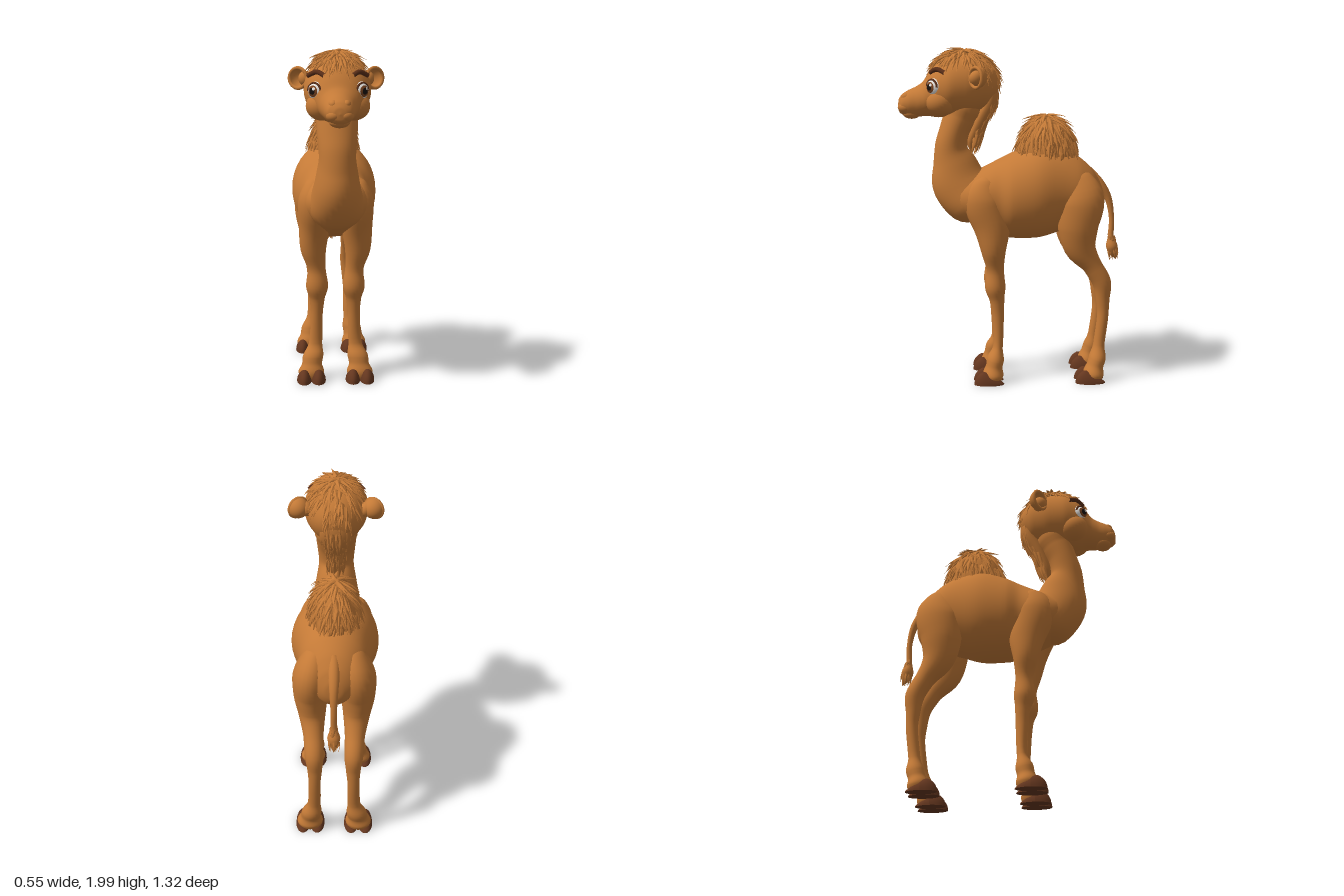
import * as THREE from 'three';
import { mergeGeometries } from 'three/addons/utils/BufferGeometryUtils.js';

const material = (name, color, side = THREE.FrontSide) => {
  const m = new THREE.MeshStandardMaterial({ color, side });
  m.name = name;
  return m;
};
const V = (x, y, z) => new THREE.Vector3(x, y, z);

// Smooth skin through elliptical rings [x, y, z, half width, half depth];
// rings follow the path, or stay upright
function loft(rings, sides = 28, upright = false) {
  const path = new THREE.CatmullRomCurve3(rings.map(r => V(r[0], r[1], r[2])));
  const size = new THREE.CatmullRomCurve3(rings.map(r => V(r[3], r[4], 0)));
  const n = (rings.length - 1) * 5, pos = [], idx = [];
  for (let i = 0; i <= n; i++) {
    const c = path.getPoint(i / n), t = path.getTangent(i / n), s = size.getPoint(i / n);
    const a = upright ? 0 : Math.atan2(-t.y, t.z);
    for (let j = 0; j < sides; j++) {
      const q = j / sides * Math.PI * 2;
      const u = Math.max(s.x, 0) * Math.cos(q), v = Math.max(s.y, 0) * Math.sin(q);
      pos.push(c.x + u, c.y + v * Math.cos(a), c.z + v * Math.sin(a));
      if (i < n) {
        const k = (j + 1) % sides, p = i * sides, o = p + sides;
        idx.push(p + j, p + k, o + j, p + k, o + k, o + j);
      }
    }
  }
  const g = new THREE.BufferGeometry();
  g.setAttribute('position', new THREE.Float32BufferAttribute(pos, 3));
  g.setIndex(idx);
  g.computeVertexNormals();
  return g;
}

const ball = (c, r) => new THREE.SphereGeometry(1, 28, 20).scale(...r).translate(...c);

let seed = 7;
const rand = () => (seed = (seed * 16807) % 2147483647) / 2147483647;

// One tapered lock of hair, curling back towards the surface
function lock(p, flow, normal, len, width) {
  const g = new THREE.ConeGeometry(width, len, 5, 3, true).translate(0, len * 0.45, 0).scale(1, 1, 0.5);
  const a = g.attributes.position;
  for (let i = 0; i < a.count; i++) {
    const t = Math.max(a.getY(i) / len, 0);
    a.setZ(i, a.getZ(i) - 0.22 * len * t * t);
  }
  const y = flow.clone().normalize(), x = V(0, 0, 0).crossVectors(y, normal).normalize();
  const z = V(0, 0, 0).crossVectors(x, y);
  g.applyMatrix4(new THREE.Matrix4().makeBasis(x, y, z).setPosition(p));
  g.computeVertexNormals();
  return g;
}

// Locks combed away from the top of an ellipsoid
function coat(c, r, count, reach, len, width) {
  const out = [];
  for (let i = 0; i < count; i++) {
    const f = i * 2.39996 + rand() * 0.5, q = reach(f) * Math.sqrt((i + 0.5) / count);
    const s = Math.sin(q), k = Math.cos(q);
    const p = V(c[0] + r[0] * s * Math.sin(f), c[1] + r[1] * k, c[2] + r[2] * s * Math.cos(f));
    const n = V(s * Math.sin(f) / r[0], k / r[1], s * Math.cos(f) / r[2]).normalize();
    const side = V(Math.cos(f), 0, -Math.sin(f)).multiplyScalar((rand() - 0.5) * 0.7);
    const flow = V(r[0] * k * Math.sin(f), -r[1] * s, r[2] * k * Math.cos(f)).normalize();
    flow.add(side).addScaledVector(n, 0.18 + rand() * 0.2);
    out.push(lock(p, flow, n, len * (0.7 + rand() * 0.6), width * (0.7 + rand() * 0.6)));
  }
  return mergeGeometries(out);
}

export function createModel() {
  const model = new THREE.Group();
  model.name = 'youngCamel';
  const fur = material('fur', 0xc47a37, THREE.DoubleSide);
  const hoof = material('hoof', 0x65371f);
  const brow = material('brow', 0x5c3019);
  const white = material('eyeWhite', 0xe9e6e2);
  const iris = material('iris', 0x7a4420);
  const black = material('pupil', 0x17110e);
  const add = (name, geo, mat = fur, parent = model) => {
    const m = new THREE.Mesh(geo, mat);
    m.name = name;
    parent.add(m);
    return m;
  };

  // Torso from rump to chest
  add('torso', loft([
    [0, 1.08, -0.56, 0, 0], [0, 1.08, -0.553, 0.05, 0.06], [0, 1.09, -0.528, 0.1, 0.12],
    [0, 1.115, -0.48, 0.145, 0.165], [0, 1.14, -0.4, 0.19, 0.21], [0, 1.15, -0.3, 0.215, 0.25],
    [0, 1.14, -0.15, 0.253, 0.28], [0, 1.115, 0, 0.243, 0.255], [0, 1.105, 0.08, 0.212, 0.225],
    [0, 1.1, 0.18, 0.21, 0.18], [0, 1.11, 0.3, 0.155, 0.125], [0, 1.13, 0.37, 0.08, 0.07],
    [0, 1.14, 0.4, 0, 0]], 40, true));

  // Neck sweeping forward, then up
  add('neck', loft([
    [0, 1.03, 0.14, 0.08, 0.07], [0, 1.09, 0.235, 0.165, 0.155], [0, 1.19, 0.305, 0.14, 0.165],
    [0, 1.3, 0.335, 0.118, 0.135], [0, 1.4, 0.355, 0.105, 0.098], [0, 1.5, 0.335, 0.113, 0.09],
    [0, 1.6, 0.295, 0.12, 0.1], [0, 1.72, 0.25, 0.12, 0.1]], 32));

  // Head and muzzle
  add('head', loft([
    [0, 1.78, 0.07, 0, 0], [0, 1.78, 0.085, 0.08, 0.08], [0, 1.78, 0.15, 0.145, 0.15],
    [0, 1.775, 0.25, 0.18, 0.18], [0, 1.765, 0.35, 0.188, 0.178], [0, 1.745, 0.43, 0.162, 0.162],
    [0, 1.72, 0.48, 0.13, 0.13], [0, 1.69, 0.52, 0.107, 0.1], [0, 1.675, 0.56, 0.092, 0.088],
    [0, 1.667, 0.6, 0.083, 0.078], [0, 1.66, 0.64, 0.067, 0.06], [0, 1.655, 0.66, 0.035, 0.035],
    [0, 1.655, 0.665, 0, 0]], 36, true));
  add('chin', ball([0, 1.61, 0.585], [0.058, 0.035, 0.055]));

  for (const s of [1, -1]) {
    const side = s > 0 ? 'left' : 'right';
    add(side + 'UpperLip', ball([s * 0.03, 1.645, 0.615], [0.045, 0.036, 0.05]));
    add(side + 'Nostril', ball([s * 0.035, 1.705, 0.61], [0.026, 0.024, 0.035]));
    add(side + 'Cheek', ball([s * 0.09, 1.68, 0.41], [0.088, 0.08, 0.09]));

    // Eye of nested caps facing forward and out
    const eye = new THREE.Group();
    eye.name = side + 'Eye';
    eye.position.set(s * 0.11, 1.765, 0.438);
    eye.rotation.y = s * 0.72;
    model.add(eye);
    const cap = (name, r, angle, mat) =>
      add(name, new THREE.SphereGeometry(r, 24, 10, 0, Math.PI * 2, 0, angle).rotateX(Math.PI / 2), mat, eye);
    cap('eyeWhite', 0.055, 1.5, white);
    cap('iris', 0.0556, 0.6, iris);
    cap('pupil', 0.0562, 0.34, black);
    const glint = cap('glint', 0.0568, 0.16, white);
    glint.rotation.set(-0.25, 0.2, 0);
    add('upperLash', new THREE.TorusGeometry(0.044, 0.006, 8, 20, Math.PI).translate(0, 0, 0.033), brow, eye);

    const arch = new THREE.CatmullRomCurve3(
      [V(s * 0.076, 1.848, 0.47), V(s * 0.116, 1.867, 0.434), V(s * 0.164, 1.846, 0.385)]);
    add(side + 'Brow', new THREE.TubeGeometry(arch, 12, 0.014, 8), brow);

    // Cupped ear with a soft rim
    const ear = new THREE.Group();
    ear.name = side + 'Ear';
    ear.position.set(s * 0.218, 1.822, 0.212);
    ear.rotation.set(0, s * 0.6, -s * 0.35);
    model.add(ear);
    add('earCup', new THREE.SphereGeometry(1, 24, 12, 0, Math.PI * 2, 0, Math.PI / 2)
      .rotateX(-Math.PI / 2).scale(0.062, 0.062, 0.065), fur, ear);
    add('earRim', new THREE.TorusGeometry(0.056, 0.01, 8, 28).scale(1.04, 1.02, 1), fur, ear);
    add('earBase', ball([s * -0.03, -0.015, -0.03], [0.04, 0.045, 0.045]), fur, ear);

    // Front leg: shoulder, knee, fetlock, heel
    add(side + 'FrontLeg', loft([
      [0.11, 1.26, 0.15, 0, 0], [0.115, 1.22, 0.15, 0.06, 0.07], [0.122, 1.1, 0.16, 0.1, 0.125],
      [0.125, 0.95, 0.12, 0.093, 0.11], [0.132, 0.8, 0.11, 0.075, 0.073], [0.113, 0.68, 0.1, 0.055, 0.052],
      [0.11, 0.58, 0.1, 0.066, 0.061], [0.11, 0.5, 0.09, 0.046, 0.044], [0.112, 0.4, 0.085, 0.036, 0.036],
      [0.12, 0.22, 0.085, 0.04, 0.029], [0.136, 0.14, 0.1, 0.062, 0.051], [0.142, 0.1, 0.108, 0.06, 0.05],
      [0.147, 0.05, 0.115, 0.078, 0.062], [0.147, 0.015, 0.115, 0.065, 0.052], [0.147, 0.01, 0.115, 0, 0],
    ].map(r => [s * r[0], ...r.slice(1)]), 24));

    // Hind leg: thigh, hock, fetlock, heel
    add(side + 'HindLeg', loft([
      [0.09, 1.29, -0.37, 0, 0], [0.1, 1.25, -0.375, 0.06, 0.08], [0.13, 1.1, -0.405, 0.105, 0.14],
      [0.135, 0.95, -0.39, 0.1, 0.122], [0.13, 0.82, -0.405, 0.08, 0.096], [0.12, 0.7, -0.482, 0.058, 0.058],
      [0.115, 0.6, -0.538, 0.055, 0.056], [0.113, 0.5, -0.545, 0.043, 0.042], [0.115, 0.4, -0.547, 0.036, 0.034],
      [0.12, 0.22, -0.525, 0.038, 0.034], [0.136, 0.14, -0.515, 0.06, 0.051], [0.142, 0.1, -0.503, 0.06, 0.05],
      [0.147, 0.05, -0.492, 0.078, 0.062], [0.147, 0.015, -0.49, 0.065, 0.052], [0.147, 0.01, -0.49, 0, 0],
    ].map(r => [s * r[0], ...r.slice(1)]), 24));

    // Two-toed hooves with flat soles
    for (const [name, z] of [['Front', 0.14], ['Hind', -0.467]]) {
      for (const t of [-1, 1]) {
        const toe = mergeGeometries([
          new THREE.SphereGeometry(1, 20, 10, 0, Math.PI * 2, 0, Math.PI / 2),
          new THREE.CircleGeometry(1, 20).rotateX(Math.PI / 2)]);
        const a = toe.attributes.position;
        // low at the heel, highest ahead of the middle
        for (let i = 0; i < a.count; i++) a.setY(i, a.getY(i) * (0.75 + 0.5 * Math.min(a.getZ(i), 0.4)));
        toe.scale(0.044, 0.088, 0.09).translate(s * 0.147 + t * 0.043, 0, z);
        toe.computeVertexNormals();
        add(side + name + 'Toe', toe, hoof);
      }
    }
  }

  // Shaggy hump
  const humpC = [0, 1.34, -0.21], humpR = [0.142, 0.255, 0.175];
  add('hump', ball(humpC, humpR));
  add('humpHair', coat(humpC, humpR, 260, () => 1.38, 0.1, 0.018));

  // Crown hair, a fringe over the brow and long behind
  const crownC = [0, 1.775, 0.28], crownR = [0.165, 0.203, 0.205];
  add('crownHair', coat(crownC, crownR, 220,
    f => 0.72 + 0.22 * Math.max(0, Math.cos(f)) + 0.8 * Math.max(0, -Math.cos(f)), 0.09, 0.016));

  // Mane down the nape
  add('mane', loft([
    [0, 1.9, 0.15, 0, 0], [0, 1.84, 0.14, 0.09, 0.05], [0, 1.7, 0.125, 0.095, 0.05],
    [0, 1.57, 0.185, 0.075, 0.045], [0, 1.45, 0.235, 0.045, 0.03], [0, 1.36, 0.235, 0, 0]], 20));
  const nape = new THREE.CatmullRomCurve3(
    [V(0, 1.84, 0.14), V(0, 1.7, 0.125), V(0, 1.57, 0.185), V(0, 1.44, 0.23)]);
  const maneLocks = [];
  for (let i = 0; i < 110; i++) {
    const t = rand(), c = nape.getPoint(t), d = nape.getTangent(t), q = (rand() - 0.5) * 2.9;
    const back = V(0, d.z, -d.y).normalize();
    if (back.z > 0) back.negate();
    const n = back.multiplyScalar(Math.cos(q)).add(V(Math.sin(q), 0, 0));
    const p = c.clone().add(V(n.x * (0.095 - 0.05 * t), n.y * 0.045, n.z * 0.045));
    const flow = d.clone().addScaledVector(n, 0.1 + rand() * 0.15).add(V((rand() - 0.5) * 0.3, -0.3, 0));
    maneLocks.push(lock(p, flow, n, 0.07 + rand() * 0.05, 0.016));
  }
  add('maneHair', mergeGeometries(maneLocks));

  // Tail and its tuft
  add('tail', loft([
    [0, 1.26, -0.46, 0.03, 0.03], [0, 1.19, -0.525, 0.032, 0.03], [0, 1.1, -0.583, 0.025, 0.022],
    [0, 0.97, -0.608, 0.018, 0.016], [0, 0.86, -0.605, 0.02, 0.018], [0, 0.8, -0.612, 0.037, 0.035],
    [0, 0.76, -0.622, 0.026, 0.026], [0, 0.715, -0.64, 0, 0]], 16));
  const tuft = [];
  for (let i = 0; i < 36; i++) {
    const q = i * 2.4, n = V(Math.cos(q), 0, Math.sin(q)), t = rand();
    const p = V(0, 0.87 - 0.1 * t, -0.605 - 0.015 * t).addScaledVector(n, 0.018 + 0.012 * t);
    tuft.push(lock(p, V(n.x * 0.2, -1, n.z * 0.2 - 0.15), n, 0.06 + rand() * 0.025, 0.012));
  }
  add('tailTuft', mergeGeometries(tuft));

  return model;
}
